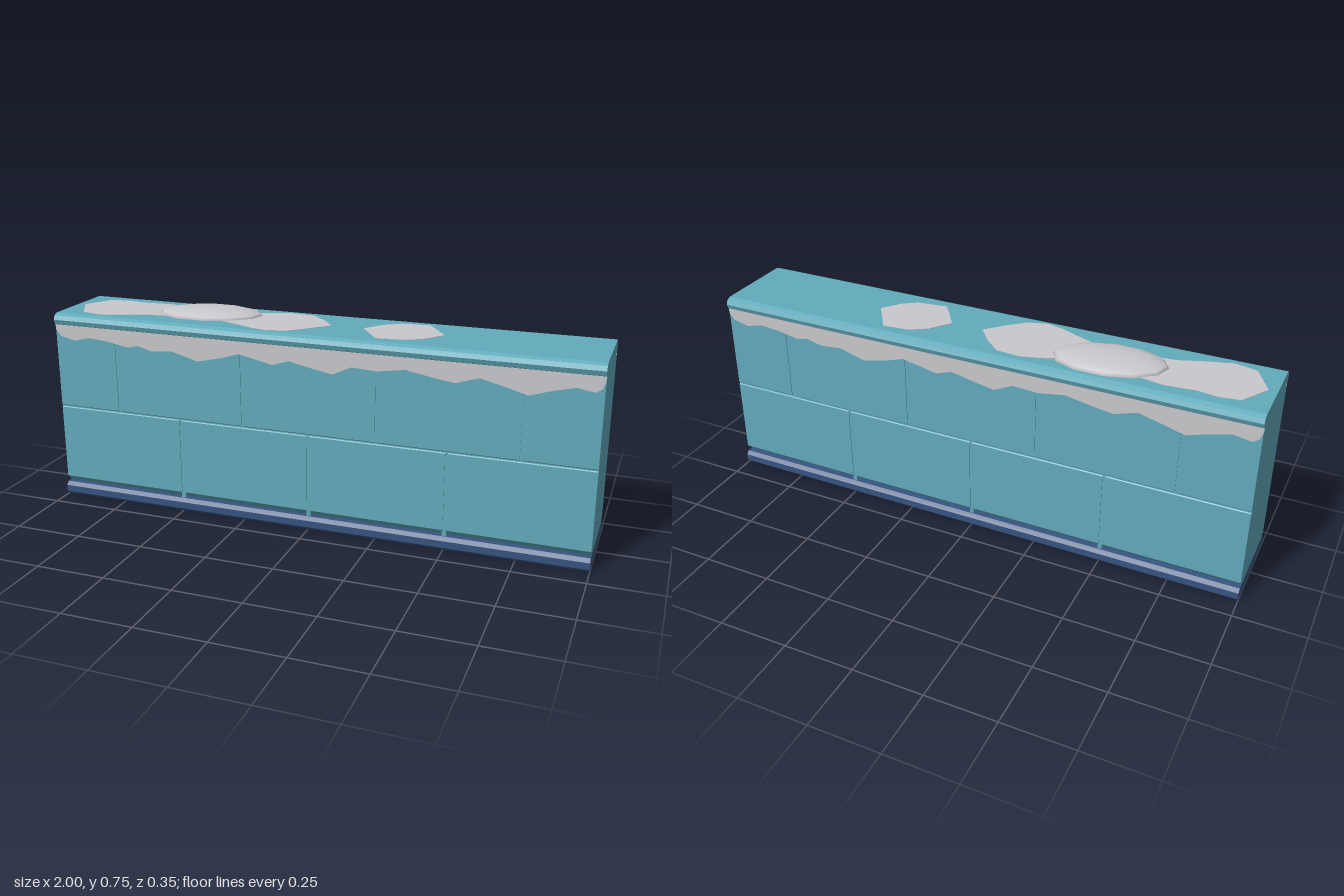
import * as THREE from 'three';

const material = (name, color) => new THREE.MeshStandardMaterial({ name, color });

export function createModel() {
  const model = new THREE.Group();
  model.name = 'snowyWall';
  const stone = material('teal stone', 0x62abbc);
  const footing = material('navy footing', 0x375480);
  const snow = material('pale snow', 0xc9c8cc);

  const add = (name, geometry, mat, parent = model) => {
    const mesh = new THREE.Mesh(geometry, mat);
    mesh.name = name;
    parent.add(mesh);
    return mesh;
  };
  const shapeOf = (pts) => new THREE.Shape(pts.map(([x, y]) => new THREE.Vector2(x, y)));

  // Symmetric half profile [z, y], swept along x between two positions
  const sweep = (half, x0, x1) => {
    const mirrored = half.map(([z, y]) => [-z, y]).reverse();
    const g = new THREE.ExtrudeGeometry(shapeOf([...half, ...mirrored]), { depth: x1 - x0, bevelEnabled: false });
    return g.rotateY(Math.PI / 2).translate(x0, 0, 0);
  };

  // Footing and coping run the full length
  add('footing', sweep([[0.163, 0], [0.175, 0.012], [0.175, 0.037], [0.163, 0.05]], -1, 1), footing);
  add('coping', sweep([[0.15, 0.67], [0.168, 0.68], [0.174, 0.697], [0.167, 0.713], [0.15, 0.72]], -1, 1), stone);

  // Two courses of blocks in running bond, with recessed joints
  const lower = [[0.14, 0.05], [0.163, 0.073], [0.163, 0.355], [0.16, 0.358]];
  const upper = [[0.16, 0.362], [0.163, 0.365], [0.163, 0.66], [0.15, 0.673]];
  const gap = 0.005;
  const course = (name, profile, joints, y0, y1) => {
    const ends = [-1, ...joints, 1];
    for (let i = 0; i < ends.length - 1; i++) {
      const a = ends[i] + (i ? gap : 0);
      const b = ends[i + 1] - (i < ends.length - 2 ? gap : 0);
      add(name + 'Block', sweep(profile, a, b), stone);
    }
    for (const x of joints) {
      add(name + 'Joint', sweep([[0.16, y0], [0.16, y1]], x - 0.008, x + 0.008), stone);
    }
  };
  course('lower', lower, [-0.5, 0, 0.5], 0.05, 0.36);
  course('upper', upper, [-0.75, -0.25, 0.25, 0.75], 0.36, 0.672);
  add('bedJoint', sweep([[0.16, 0.353], [0.16, 0.367]], -1, 1), stone);

  // Ragged snow fringe under the coping, on both long faces
  const fringe = [
    [-1, 0.66], [-0.98, 0.635], [-0.92, 0.622], [-0.86, 0.637], [-0.78, 0.63], [-0.7, 0.615],
    [-0.66, 0.625], [-0.6, 0.61], [-0.52, 0.617], [-0.42, 0.59], [-0.33, 0.61], [-0.26, 0.632],
    [-0.2, 0.62], [-0.13, 0.605], [-0.07, 0.625], [0, 0.61], [0.09, 0.593], [0.16, 0.625],
    [0.25, 0.62], [0.35, 0.635], [0.46, 0.615], [0.52, 0.607], [0.6, 0.632], [0.68, 0.612],
    [0.76, 0.59], [0.84, 0.615], [0.91, 0.632], [0.97, 0.622], [0.99, 0.635], [1, 0.66],
  ];
  const fringeShape = shapeOf([...fringe, [1, 0.679], [-1, 0.679]]);
  for (const [name, turn] of [['frontFringe', 0], ['backFringe', Math.PI]]) {
    const g = new THREE.ExtrudeGeometry(fringeShape, { depth: 0.003, bevelEnabled: false });
    add(name, g.translate(0, 0, 0.162).rotateY(turn), snow);
  }

  // Flat snow patches on the coping, outlined as [x, z]
  const patches = [
    [[-0.97, 0], [-0.91, -0.1], [-0.84, -0.11], [-0.77, -0.1], [-0.66, -0.11], [-0.58, -0.095],
      [-0.5, 0], [-0.57, 0.062], [-0.65, 0.07], [-0.73, 0.1], [-0.83, 0.13], [-0.91, 0.11]],
    [[0.03, 0], [-0.02, -0.065], [-0.08, -0.12], [-0.17, -0.127], [-0.26, -0.1], [-0.36, -0.05],
      [-0.38, 0.06], [-0.29, 0.095], [-0.22, 0.125], [-0.16, 0.14], [-0.09, 0.12], [-0.03, 0.065]],
    [[0.15, 0], [0.2, -0.07], [0.26, -0.11], [0.36, -0.12], [0.4, -0.06], [0.44, 0],
      [0.39, 0.065], [0.34, 0.1], [0.23, 0.115], [0.19, 0.06]],
  ];
  patches.forEach((pts, i) => {
    const g = new THREE.ExtrudeGeometry(shapeOf(pts.map(([x, z]) => [x, -z])), { depth: 0.002, bevelEnabled: false });
    add('snowPatch' + (i + 1), g.rotateX(-Math.PI / 2).translate(0, 0.7195 + i * 0.0002, 0), snow);
  });

  // Low, smooth snow mound
  const dome = new THREE.SphereGeometry(1, 12, 4, 0, Math.PI * 2, 0, Math.PI / 2);
  const mound = add('snowMound', dome.scale(0.2, 0.029, 0.114), snow);
  mound.rotation.y = 0.14;
  mound.position.set(-0.45, 0.719, -0.025);

  return model;
}
